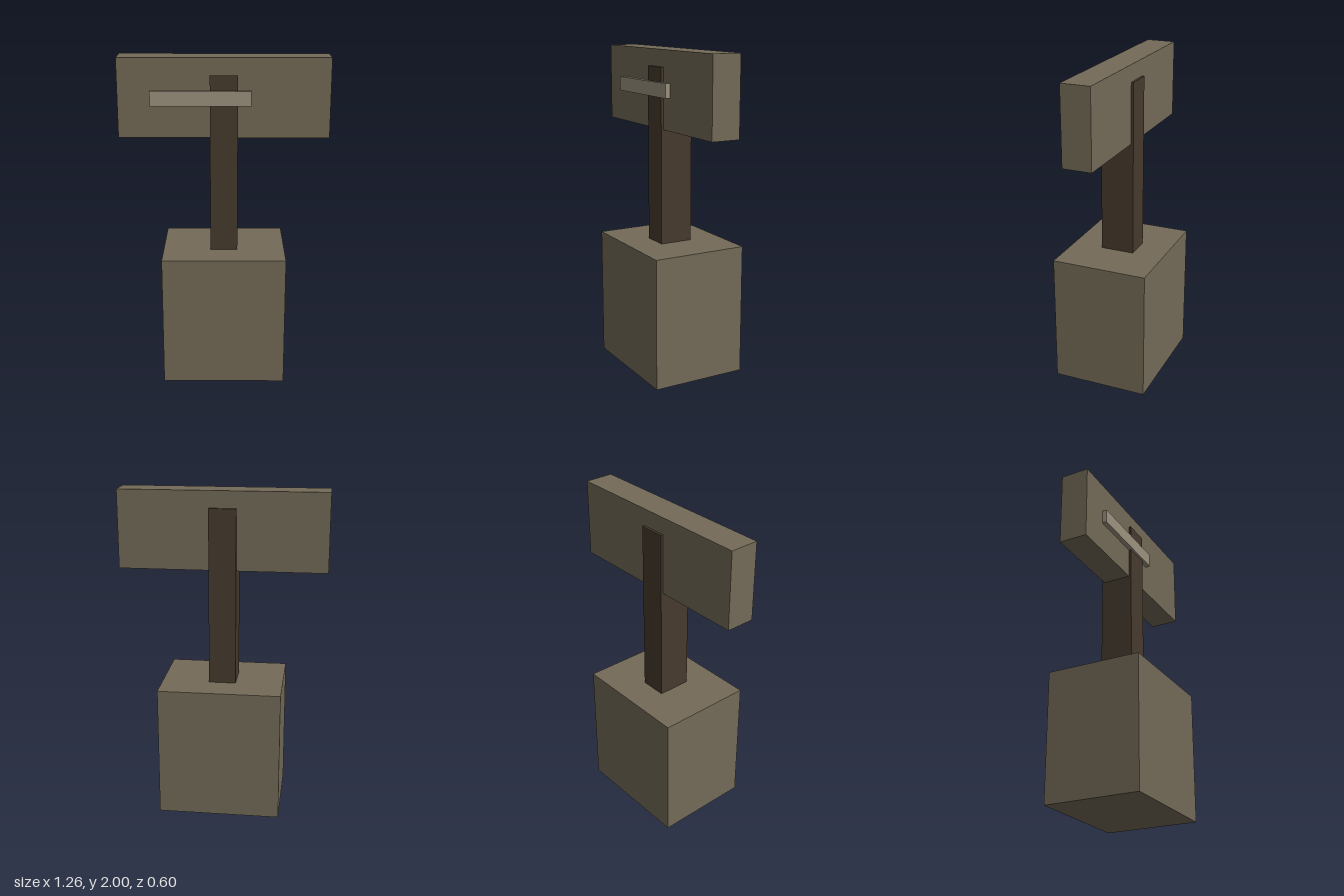
import * as THREE from 'three';

export function createModel() {
  const model = new THREE.Group();
  const stone = new THREE.MeshStandardMaterial({ color: 0x736a57 });
  stone.name = 'weathered stone';
  const wood = new THREE.MeshStandardMaterial({ color: 0x463a2d });
  wood.name = 'dark wood';
  const pale = new THREE.MeshStandardMaterial({ color: 0x9c927e });
  pale.name = 'pale trim';

  // Box given by its minimum and maximum corners
  const box = (name, material, min, max) => {
    const size = max.map((v, i) => v - min[i]);
    const mesh = new THREE.Mesh(new THREE.BoxGeometry(...size), material);
    mesh.position.set(...max.map((v, i) => (v + min[i]) / 2));
    mesh.name = name;
    model.add(mesh);
  };

  // Heavy block at the foot
  box('base', stone, [-0.375, 0, -0.3], [0.375, 0.813, 0.3]);
  // Post, seated just inside the base and passing through the board
  box('post', wood, [-0.083, 0.002, -0.105], [0.083, 1.897, 0.105]);
  // Wide board at the top
  box('signBoard', stone, [-0.632, 1.523, -0.09], [0.632, 2, 0.09]);
  // Off-centre strip on the front of the board
  box('frontStrip', pale, [-0.438, 1.719, 0.08], [0.162, 1.807, 0.12]);

  return model;
}
